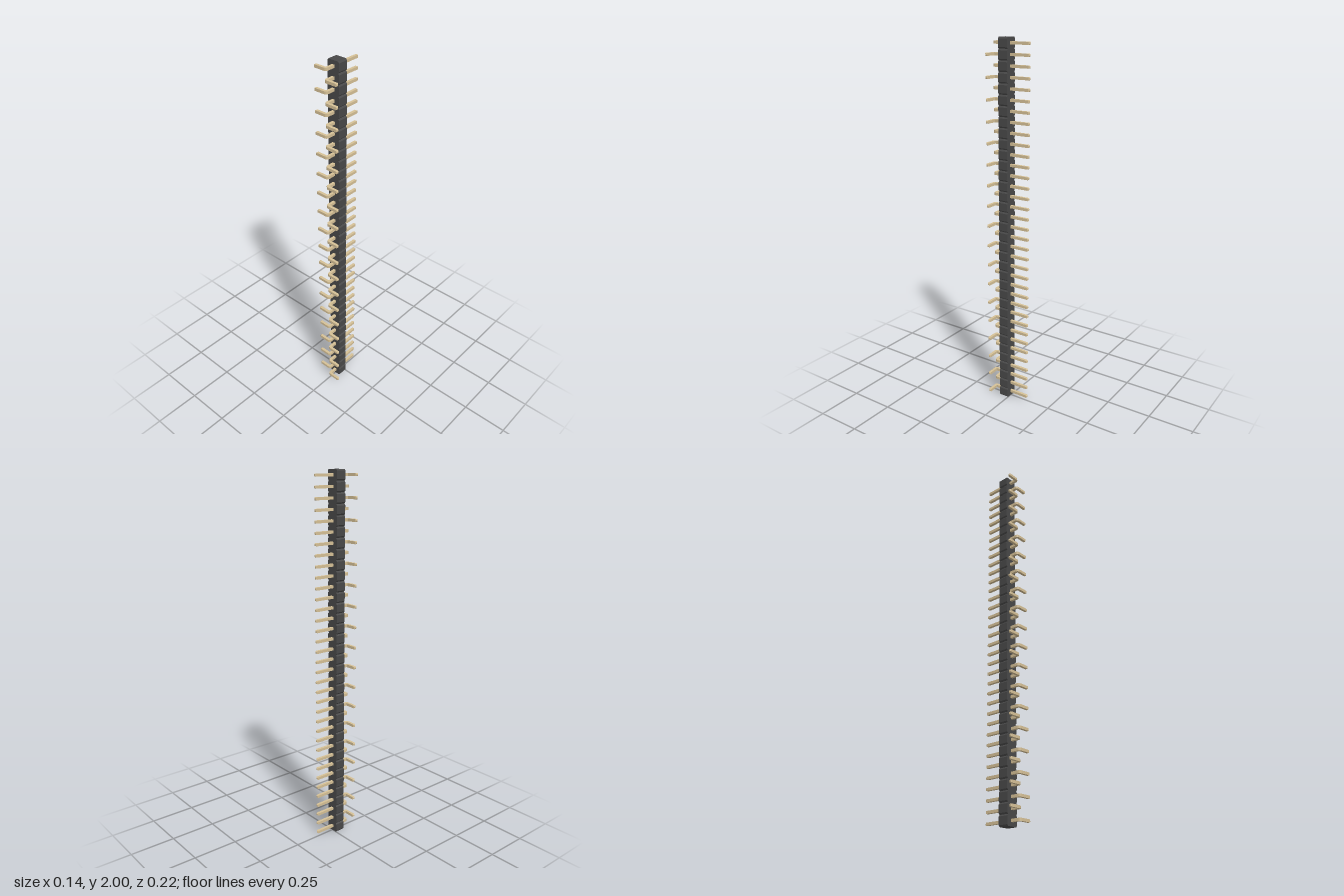
import * as THREE from 'three';

const COUNT = 36;
const PITCH = 2 / COUNT;

// Square wire: straight leg, rounded bend, side foot, tapered at both tips
function pinGeometry() {
  const half = 0.0073, radius = 0.0085, footZ = 0.102;
  const bendZ = footZ - radius;
  // each section: x, z, heading angle, half width
  const sections = [[0, -0.112, 0, half * 0.55], [0, -0.107, 0, half]];
  const steps = 6;
  for (let i = 0; i <= steps; i++) {
    const a = (i / steps) * Math.PI / 2;
    sections.push([radius * (1 - Math.cos(a)), bendZ + radius * Math.sin(a), a, half]);
  }
  sections.push([0.0645, footZ, Math.PI / 2, half], [0.069, footZ, Math.PI / 2, half * 0.55]);

  const rings = sections.map(([x, z, a, h]) =>
    [[1, -1], [1, 1], [-1, 1], [-1, -1]].map(([u, v]) =>
      [x + u * h * Math.cos(a), v * h, z - u * h * Math.sin(a)]));
  const positions = [];
  const quad = (a, b, c, d) => positions.push(...a, ...b, ...c, ...a, ...c, ...d);
  for (let i = 0; i < rings.length - 1; i++) {
    for (let k = 0; k < 4; k++) {
      const n = (k + 1) % 4;
      quad(rings[i][k], rings[i][n], rings[i + 1][n], rings[i + 1][k]);
    }
  }
  quad(...[...rings[0]].reverse());
  quad(...rings[rings.length - 1]);

  const geometry = new THREE.BufferGeometry();
  geometry.setAttribute('position', new THREE.Float32BufferAttribute(positions, 3));
  geometry.computeVertexNormals();
  return geometry;
}

// Strip of chamfered cells, notched on both sides between neighbours
function housingGeometry() {
  const wide = 0.035, narrow = 0.029, chamfer = 0.0075;
  const right = [];
  for (let i = 0; i < COUNT; i++) {
    const y = i * PITCH;
    right.push([narrow, y], [wide, y + chamfer], [wide, y + PITCH - chamfer]);
  }
  right.push([narrow, 2]);
  const left = right.map(([x, y]) => [-x, y]).reverse();
  const shape = new THREE.Shape([...right, ...left].map(([x, y]) => new THREE.Vector2(x, y)));
  return new THREE.ExtrudeGeometry(shape, { depth: 0.054, bevelEnabled: false });
}

export function createModel() {
  const model = new THREE.Group();
  model.name = 'pinHeader';

  const plastic = new THREE.MeshStandardMaterial({ color: 0x484848 });
  const metal = new THREE.MeshStandardMaterial({ color: 0xd4bf95 });

  const housing = new THREE.Mesh(housingGeometry(), plastic);
  housing.name = 'housing';
  model.add(housing);

  // Pins alternate their feet left and right up the strip
  const pins = new THREE.Group();
  pins.name = 'pins';
  const geometry = pinGeometry();
  for (let i = 0; i < COUNT; i++) {
    const pin = new THREE.Mesh(geometry, metal);
    pin.name = i % 2 ? 'rightPin' : 'leftPin';
    pin.position.y = (i + 0.5) * PITCH;
    if (i % 2) pin.rotation.z = Math.PI;
    pins.add(pin);
  }
  model.add(pins);
  return model;
}
